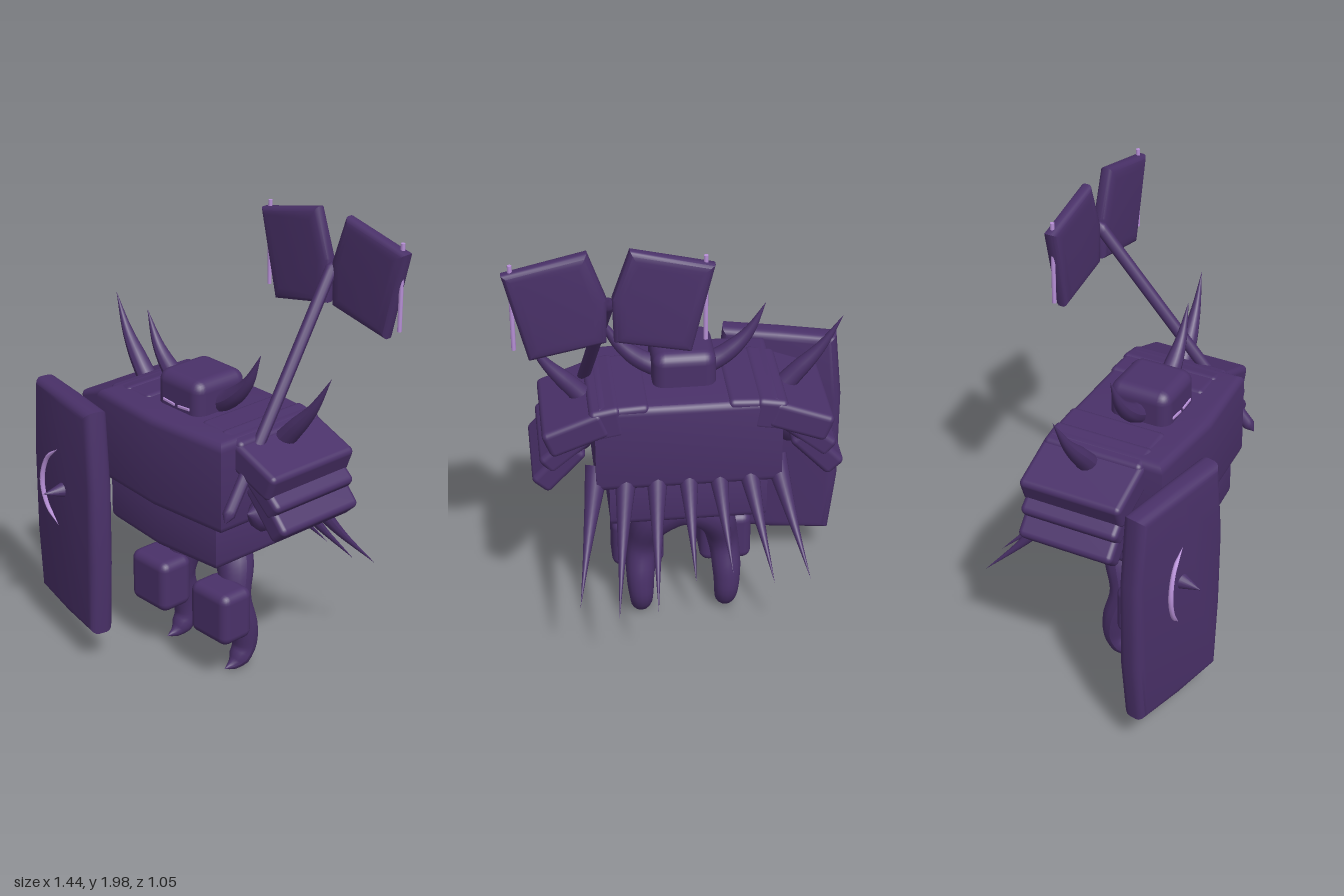
import * as THREE from 'three';
import { toCreasedNormals } from 'three/addons/utils/BufferGeometryUtils.js';
import { RoundedBoxGeometry } from 'three/addons/geometries/RoundedBoxGeometry.js';

export function createModel() {
  const model = new THREE.Group();
  const armour = new THREE.MeshStandardMaterial({ color: 0x4a3169 });
  armour.name = 'dark purple armour';
  const glow = new THREE.MeshStandardMaterial({ color: 0xb890d8 });
  glow.name = 'pale lavender trim';

  const add = (name, geometry, material = armour, parent = model) => {
    const mesh = new THREE.Mesh(geometry, material);
    mesh.name = name;
    parent.add(mesh);
    return mesh;
  };

  const box = (name, w, h, d, x, y, z, r, material = armour) => {
    const mesh = add(name, new RoundedBoxGeometry(w, h, d, 3, r), material);
    mesh.position.set(x, y, z);
    return mesh;
  };

  // Bevelled slab from an outline, centred on its own thickness
  const slab = (points, thickness, bevel, bevelSize = bevel) => {
    const shape = new THREE.Shape(points.map(([x, y]) => new THREE.Vector2(x, y)));
    const depth = thickness - 2 * bevel;
    const g = new THREE.ExtrudeGeometry(shape, {
      depth, bevelThickness: bevel, bevelSize, bevelOffset: -bevelSize, bevelSegments: 4,
    });
    g.translate(0, 0, -depth / 2);
    return toCreasedNormals(g, 0.6);
  };

  // Tube along a curve whose radius follows an evenly spaced list
  const taper = (points, radii, segments = 16, sides = 12) => {
    const curve = new THREE.CatmullRomCurve3(points.map((p) => new THREE.Vector3(...p)));
    const g = new THREE.TubeGeometry(curve, segments, 1, sides);
    const pos = g.attributes.position;
    const v = new THREE.Vector3();
    for (let i = 0; i <= segments; i++) {
      const c = curve.getPointAt(i / segments);
      const f = (i / segments) * (radii.length - 1);
      const k = Math.min(Math.floor(f), radii.length - 2);
      const r = THREE.MathUtils.lerp(radii[k], radii[k + 1], f - k);
      for (let j = 0; j <= sides; j++) {
        const n = i * (sides + 1) + j;
        v.fromBufferAttribute(pos, n).sub(c).multiplyScalar(r).add(c);
        pos.setXYZ(n, v.x, v.y, v.z);
      }
    }
    g.computeVertexNormals();
    return g;
  };

  // Torso: outlines seen from above, with a slightly peaked chest
  const torso = (name, w, back, side, front, bottom, top) => {
    const g = slab([[-w, -side], [0, -front], [w, -side], [w, -back], [-w, -back]], top - bottom, 0.035);
    g.rotateX(-Math.PI / 2);
    add(name, g).position.y = (top + bottom) / 2;
  };
  torso('chest', 0.38, -0.225, 0.295, 0.325, 0.815, 1.21);
  torso('waist', 0.325, -0.2, 0.27, 0.3, 0.625, 0.85);

  // Head with two eye slits
  box('head', 0.26, 0.2, 0.27, 0, 1.253, 0.056, 0.05);
  for (const s of [-1, 1]) {
    const eye = box('eye', 0.07, 0.012, 0.009, s * 0.045, 1.23, 0.192, 0.003, glow);
    eye.rotation.z = s * 0.08;
  }

  // Shoulder plates: x, y, width, height, tilt in degrees, depth
  const plates = [
    [0.235, 1.15, 0.16, 0.13, -3, 0.43],
    [0.33, 1.14, 0.13, 0.14, -10, 0.44],
    [0.455, 1.1, 0.26, 0.12, -21, 0.45],
    [0.493, 1.027, 0.24, 0.09, -40, 0.43],
    [0.528, 0.943, 0.24, 0.1, -47, 0.42],
  ];
  for (const s of [-1, 1]) {
    for (const [x, y, w, h, a, d] of plates) {
      box('shoulderPlate', w, h, d, s * x, y, -0.007, 0.024).rotation.z = THREE.MathUtils.degToRad(s * a);
    }
    add('shoulderSpike', taper([[s * 0.4, 1.14, -0.01], [s * 0.46, 1.21, -0.012], [s * 0.56, 1.33, -0.022],
      [s * 0.645, 1.48, -0.035]], [0.045, 0.036, 0.018, 0]));
    add('headHorn', taper([[s * 0.1, 1.235, 0.055], [s * 0.18, 1.28, 0.055], [s * 0.27, 1.37, 0.053],
      [s * 0.342, 1.51, 0.05]], [0.045, 0.037, 0.02, 0]));
    // Arms reach forward beneath the plates
    const reach = s < 0 ? 0.28 : 0.21;
    add(s < 0 ? 'rightArm' : 'leftArm', taper([[s * 0.38, 1.08, 0], [s * 0.45, 0.95, 0.02],
      [s * 0.45, 0.89, 0.12], [s * 0.44, 0.91, reach]], [0.06, 0.08, 0.08, 0.075, 0.07, 0.07, 0]));
    box('kneeGuard', 0.225, 0.235, 0.165, s * 0.19, 0.345, 0.12, 0.04);
  }

  // Both legs form one arch ending in curled feet
  const leg = [[0.185, 0.04, 0.095], [0.185, 0.05, 0.035], [0.185, 0.11, -0.015], [0.188, 0.21, -0.012],
    [0.175, 0.36, 0.025], [0.125, 0.52, -0.01]];
  const legRadii = [0, 0.046, 0.055, 0.062, 0.065, 0.07, 0.08, 0.092];
  add('legs', taper(
    [...leg, [0, 0.6, -0.02], ...leg.map(([x, y, z]) => [-x, y, z]).reverse()],
    [...legRadii, 0.1, ...legRadii.slice().reverse()], 64, 16));

  // Row of hanging back spikes: base x, tip x, y, z
  const backSpikes = [
    [-0.36, -0.47, 0.5, -0.48], [-0.24, -0.32, 0.5, -0.49], [-0.12, -0.155, 0.53, -0.45], [0, 0, 0.52, -0.47],
    [0.125, 0.16, 0.42, -0.53], [0.25, 0.32, 0.4, -0.53], [0.37, 0.475, 0.45, -0.5],
  ];
  for (const [bx, x, y, z] of backSpikes) {
    add('backSpike', taper([[bx, 0.9, -0.15],
      [bx + (x - bx) * 0.5, (0.9 + y) / 2 - 0.01, (z - 0.15) / 2 + 0.015], [x, y, z]], [0.05, 0.03, 0.013, 0]));
  }

  // Two-bladed axe: shaft and mirrored blades about x = 0.32
  add('axeShaft', taper([[0.32, 1.8, -0.37], [0.378, 1.35, -0.025], [0.435, 0.9, 0.325]],
    [0, ...Array(28).fill(0.026), 0], 58));
  const blade = [[0.4, 1.925], [0.08, 2], [0.01, 1.8], [0.015, 1.615], [0.31, 1.555]];
  for (const s of [-1, 1]) {
    add('axeBlade', slab(blade.map(([x, y]) => [0.32 + s * x, y]), 0.066, 0.022, 0.05)).position.z = -0.36;
    const bar = add('bladeTrim', new THREE.CylinderGeometry(0.009, 0.009, 0.36, 8), glow);
    bar.position.set(0.32 + s * 0.365, 1.78, -0.36);
  }

  // Shield, angled outward, with a centre spike and a curved trim
  const shield = new THREE.Group();
  shield.name = 'shield';
  shield.position.set(-0.452, 0, 0.378);
  shield.rotation.y = -0.21;
  model.add(shield);
  add('shieldBoard', slab([[-0.245, 0.185], [0, 0.17], [0.245, 0.175], [0.265, 0.5], [0.27, 0.85], [0.24, 1.195],
    [0, 1.19], [-0.245, 1.18], [-0.275, 0.87], [-0.275, 0.47]], 0.105, 0.035), armour, shield);
  const stud = add('shieldSpike', new THREE.ConeGeometry(0.035, 0.1, 16), armour, shield);
  stud.position.set(0.003, 0.76, 0.093);
  stud.rotation.x = Math.PI / 2;
  add('shieldTrim', taper([[-0.475, 0.945, 0.436], [-0.55, 0.88, 0.437], [-0.585, 0.77, 0.44],
    [-0.56, 0.66, 0.438], [-0.495, 0.58, 0.43]], [0, 0.009, 0.01, 0.011, 0.01, 0.009, 0], 24, 8), glow);

  return model;
}
